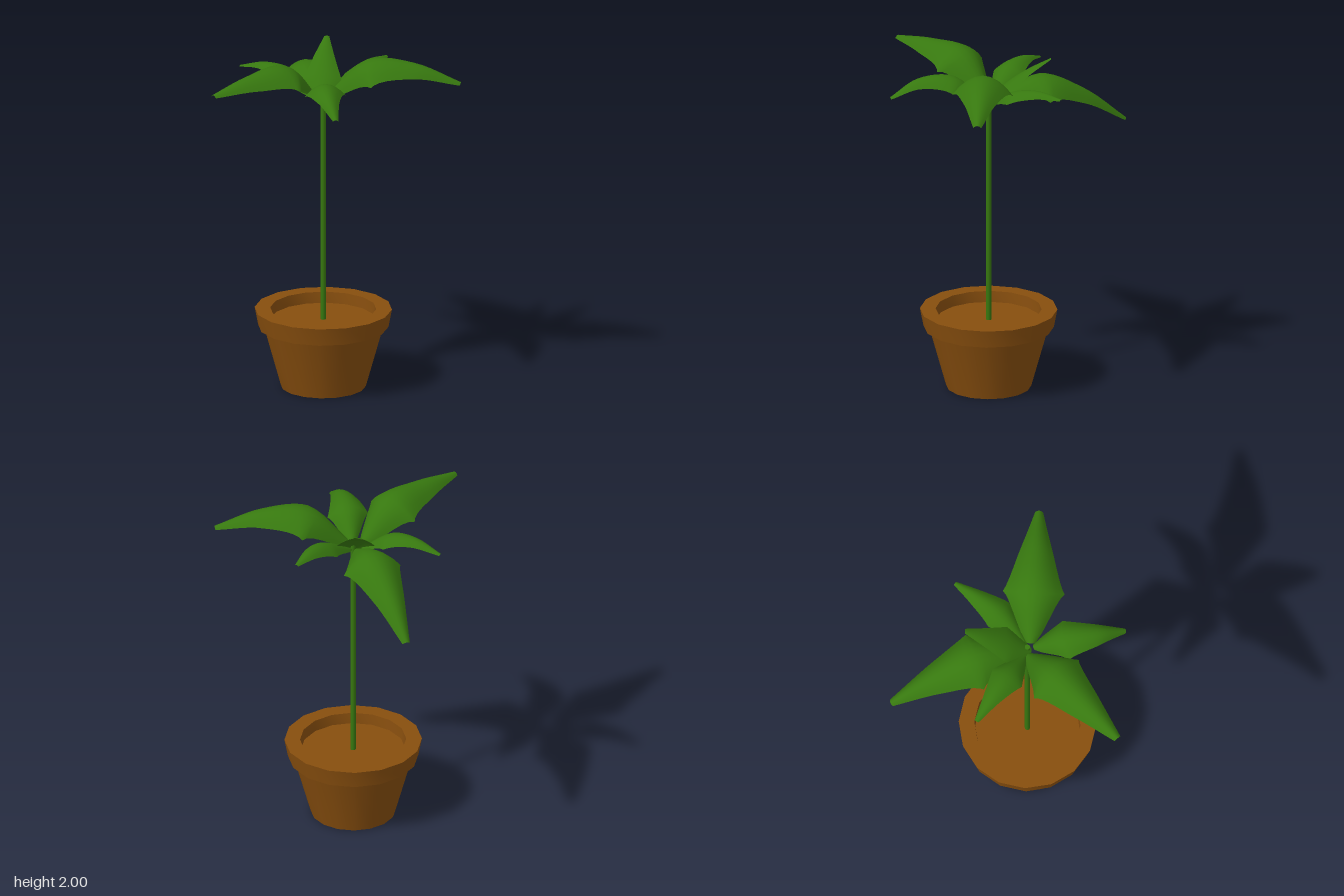
import * as THREE from 'three';
import { toCreasedNormals } from 'three/addons/utils/BufferGeometryUtils.js';

const V = (x, y, z) => new THREE.Vector3(x, y, z);
const CX = 0.125, CZ = 0.075; // axis of pot and stem

// Arched leaf: centre line through base, widest point and tip; the edges droop across the width.
function leafGeometry(base, wide, far, tip, half, droop) {
  const rows = 18, cols = 8, pos = [], index = [];
  const curve = new THREE.CatmullRomCurve3([base, wide, far, tip]);
  const across = tip.clone().sub(base).cross(V(0, 1, 0)).normalize();
  for (let i = 0; i <= rows; i++) {
    const u = i / rows, p = curve.getPoint(u);
    const up = across.clone().cross(curve.getTangent(u)).normalize();
    const w = half * (u < 1 / 3
      ? 0.15 + 0.85 * Math.pow(u * 3, 0.8)
      : 1 - 0.87 * (u - 1 / 3) * 1.5);
    for (let j = 0; j <= cols; j++) {
      const s = (j / cols) * 2 - 1;
      const q = p.clone().addScaledVector(across, s * w).addScaledVector(up, -droop * w * s * s);
      pos.push(q.x, q.y, q.z);
      if (i < rows && j < cols) {
        const a = i * (cols + 1) + j, b = a + cols + 1;
        index.push(a, a + 1, b, a + 1, b + 1, b);
      }
    }
  }
  const g = new THREE.BufferGeometry();
  g.setAttribute('position', new THREE.Float32BufferAttribute(pos, 3));
  g.setIndex(index);
  g.computeVertexNormals();
  return g;
}

export function createModel() {
  const model = new THREE.Group();
  const clay = new THREE.MeshStandardMaterial({ color: 0x874e0e });
  const green = new THREE.MeshStandardMaterial({ color: 0x37780f });
  const leafGreen = new THREE.MeshStandardMaterial({ color: 0x37780f, side: THREE.DoubleSide });
  const add = (name, geometry, material) => {
    const mesh = new THREE.Mesh(geometry, material);
    mesh.name = name;
    model.add(mesh);
    return mesh;
  };

  // Pot with overhanging rim and the soil surface inside
  const profile = [[0, 0], [0.245, 0], [0.345, 0.36], [0.375, 0.36], [0.395, 0.465], [0.305, 0.465], [0.3, 0.4], [0, 0.4]]
    .map(([r, y]) => new THREE.Vector2(r, y));
  add('pot', toCreasedNormals(new THREE.LatheGeometry(profile, 16), 0.6), clay).position.set(CX, 0, CZ);

  // Stem
  add('stem', new THREE.CylinderGeometry(0.016, 0.016, 1.36, 8), green).position.set(CX, 1.07, CZ);

  // Leaves: base, widest point, outer point, tip, half width, droop
  const leaves = [
    ['leftSideLeaf', V(0.09, 1.76, 0.045), V(-0.12, 1.97, 0.035), V(-0.4, 1.965, 0.035), V(-0.68, 1.915, 0.035), 0.175, 0.65],
    ['smallBackLeaf', V(0.1, 1.74, 0.03), V(0.05, 1.87, -0.14), V(0.01, 1.885, -0.3), V(-0.03, 1.835, -0.47), 0.1, 0.5],
    ['largeBackLeaf', V(0.13, 1.74, 0.04), V(0.265, 1.86, -0.21), V(0.37, 1.745, -0.45), V(0.47, 1.54, -0.68), 0.175, 0.65],
    ['uprightLeaf', V(0.105, 1.71, 0.09), V(0.185, 1.83, 0), V(0.275, 1.92, -0.09), V(0.375, 1.995, -0.18), 0.11, 0.3],
    ['largeFrontLeaf', V(0.125, 1.76, 0.1), V(0.285, 1.975, 0.27), V(0.475, 1.965, 0.47), V(0.66, 1.86, 0.665), 0.178, 0.65],
    ['smallFrontLeaf', V(0.105, 1.75, 0.1), V(0, 1.885, 0.23), V(-0.12, 1.88, 0.4), V(-0.195, 1.785, 0.55), 0.12, 0.6],
    ['rightSideLeaf', V(0.14, 1.73, 0.08), V(0.35, 1.85, 0.08), V(0.51, 1.88, 0.045), V(0.665, 1.862, 0.01), 0.095, 0.6],
  ];
  for (const [name, base, wide, far, tip, half, droop] of leaves) {
    add(name, leafGeometry(base, wide, far, tip, half, droop), leafGreen);
  }
  return model;
}
